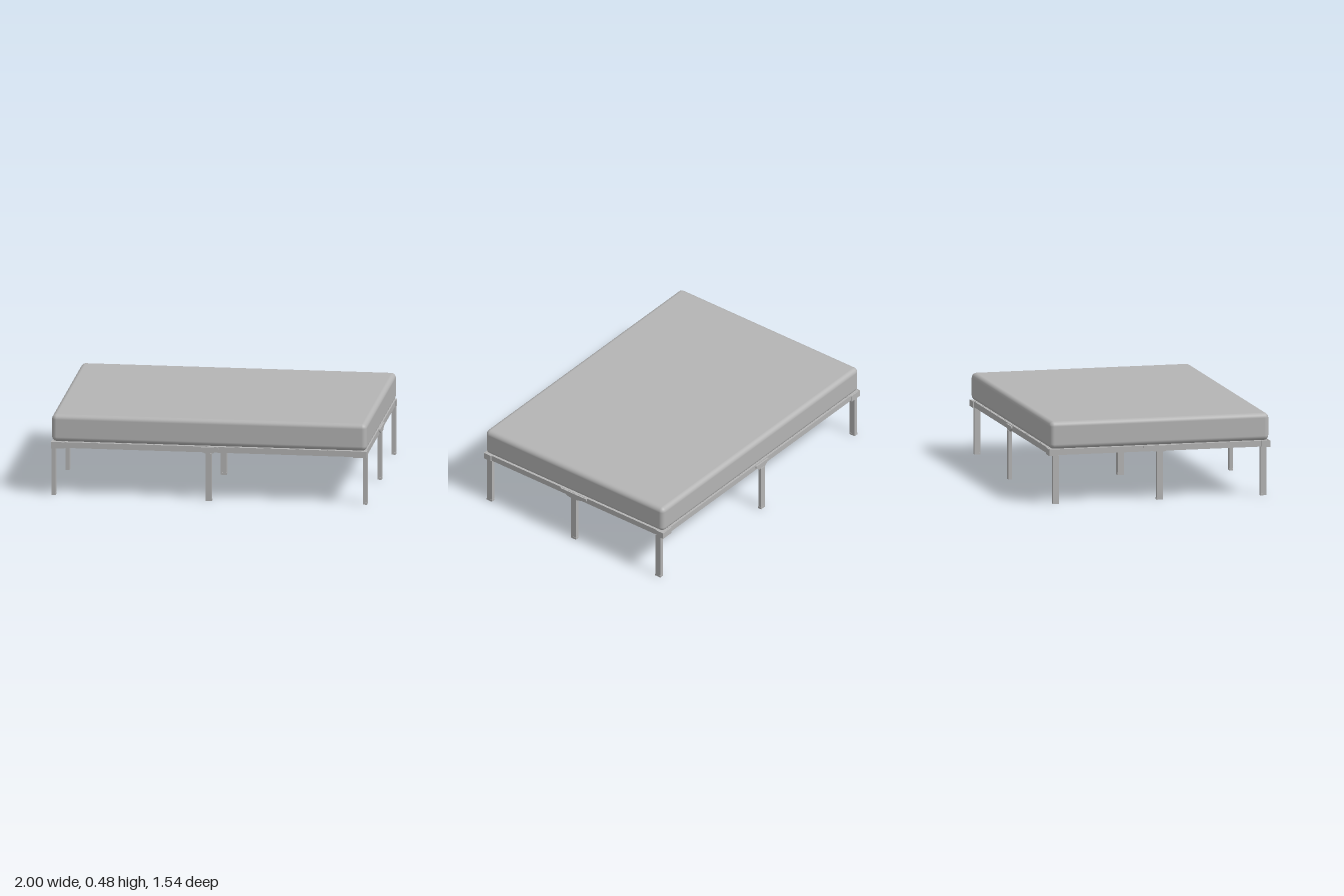
import * as THREE from 'three';
import { RoundedBoxGeometry } from 'three/addons/geometries/RoundedBoxGeometry.js';

export function createModel() {
  const grey = new THREE.MeshStandardMaterial({ color: 0xb4b4b4 });
  grey.name = 'plain grey';

  const model = new THREE.Group();
  model.name = 'bed';
  const bed = new THREE.Group();
  bed.name = 'turnedBed';
  bed.rotation.y = 0.127; // the bed stands slightly turned
  model.add(bed);

  const add = (name, geometry, x, y, z) => {
    const mesh = new THREE.Mesh(geometry, grey);
    mesh.name = name;
    mesh.position.set(x, y, z);
    bed.add(mesh);
    return mesh;
  };
  const box = (name, w, h, d, x, y, z) => add(name, new THREE.BoxGeometry(w, h, d), x, y, z);

  // Mattress
  add('mattress', new RoundedBoxGeometry(1.838, 0.16, 1.31, 4, 0.028), 0, 0.4, 0);

  // Angle-section rails: upright flange and top flange on every side
  for (const s of [-1, 1]) {
    box('sideRail', 1.83, 0.034, 0.006, 0, 0.302, s * 0.649);
    box('sideRailLedge', 1.83, 0.005, 0.03, 0, 0.316, s * 0.635);
    box('endRail', 0.006, 0.034, 1.3, s * 0.913, 0.302, 0);
    box('endRailLedge', 0.03, 0.005, 1.3, s * 0.899, 0.316, 0);
  }

  // Centre beam and cross slats
  box('centreBeam', 1.82, 0.024, 0.026, 0, 0.298, 0);
  const slats = 11;
  for (let i = 0; i < slats; i++) {
    const x = -0.84 + (1.68 * i) / (slats - 1);
    box('slat', 0.042, 0.012, 1.29, x, 0.314, 0);
  }

  // Legs with a small foot cap
  const leg = (name, w, d, x, z) => {
    box(name, w, 0.275, d, x, 0.1475, z);
    box(name + 'Foot', w + 0.002, 0.012, d + 0.002, x, 0.006, z);
  };
  leg('centreLeg', 0.036, 0.036, 0, 0);
  for (const s of [-1, 1]) {
    leg('sideLeg', 0.036, 0.02, 0, s * 0.66);
    leg('endLeg', 0.022, 0.036, s * 0.911, 0);
    for (const t of [-1, 1]) {
      leg('cornerLeg', 0.023, 0.036, s * 0.909, t * 0.62);
      // Corner plates wrapping the rail ends
      box('cornerSidePlate', 0.08, 0.038, 0.006, s * 0.882, 0.301, t * 0.657);
      box('cornerEndPlate', 0.006, 0.038, 0.05, s * 0.919, 0.301, t * 0.635);
    }
  }

  // Tapered gusset plates that carry the middle legs
  const gusset = (top, bottom) => {
    const shape = new THREE.Shape([
      new THREE.Vector2(-top / 2, 0.318), new THREE.Vector2(-top / 2, 0.305),
      new THREE.Vector2(-bottom / 2, 0.283), new THREE.Vector2(bottom / 2, 0.283),
      new THREE.Vector2(top / 2, 0.305), new THREE.Vector2(top / 2, 0.318),
    ]);
    return new THREE.ExtrudeGeometry(shape, { depth: 0.01, bevelEnabled: false });
  };
  const sideGusset = gusset(0.11, 0.05);
  const endGusset = gusset(0.19, 0.06);
  for (const s of [-1, 1]) {
    add('sideGusset', sideGusset, 0, 0, s * 0.656).rotation.y = s > 0 ? 0 : Math.PI;
    add('endGusset', endGusset, s * 0.915, 0, 0).rotation.y = (s * Math.PI) / 2;
  }

  return model;
}
